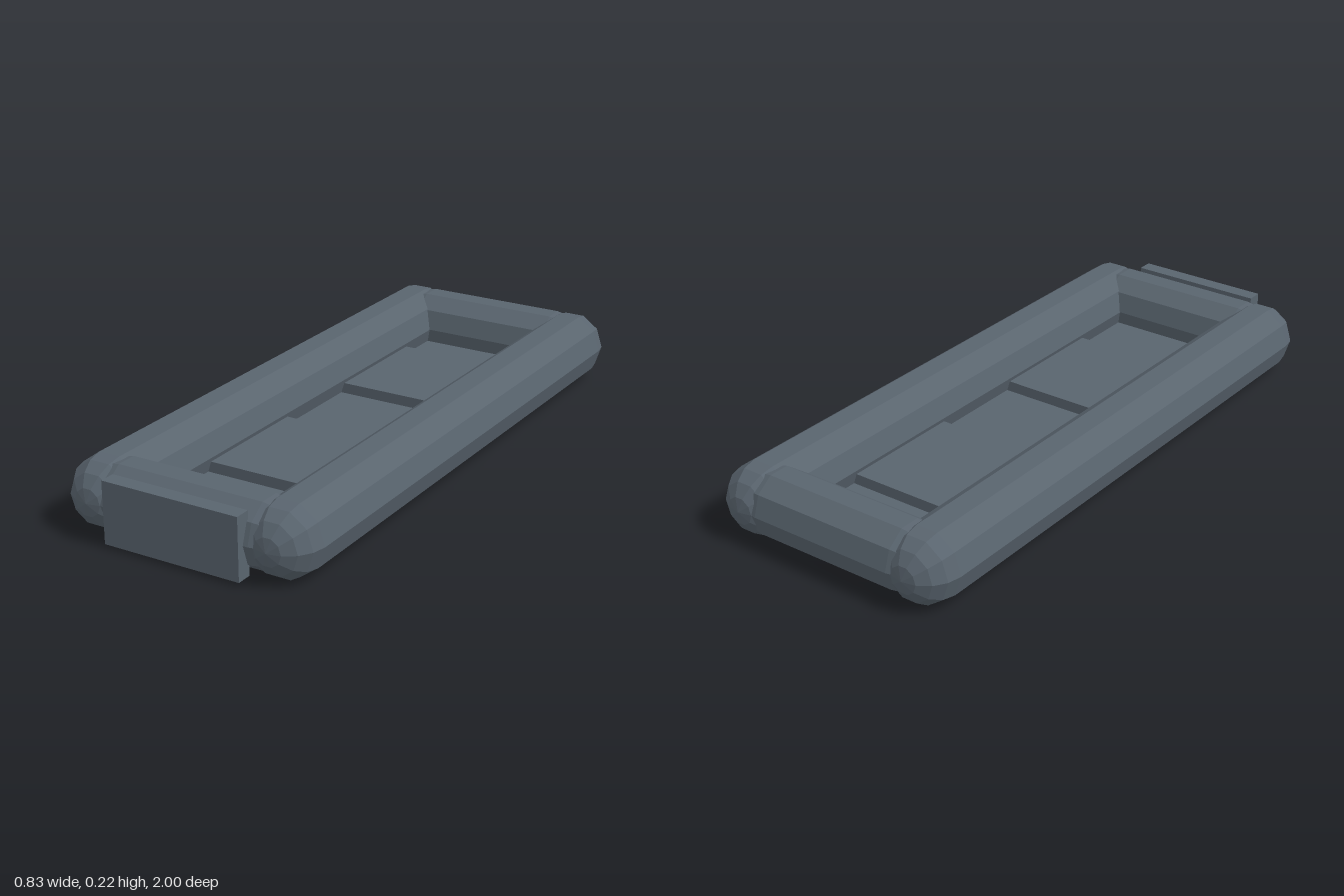
import * as THREE from 'three';

export function createModel() {
  const raft = new THREE.Group();
  raft.name = 'inflatableRaft';
  const material = new THREE.MeshStandardMaterial({ color: 0x59646e, flatShading: true });

  const add = (name, geometry, x, y, z) => {
    const mesh = new THREE.Mesh(geometry, material);
    mesh.name = name;
    mesh.position.set(x, y, z);
    raft.add(mesh);
  };

  const midZ = -0.008;      // the tube ring sits slightly behind the transom
  const halfLength = 0.878; // from middle to each end tube

  // Ten-sided side tubes with rounded ends
  for (const [name, side] of [['leftTube', 1], ['rightTube', -1]]) {
    const tube = new THREE.CapsuleGeometry(0.114, halfLength * 2, 4, 10).rotateX(Math.PI / 2);
    add(name, tube, side * 0.3, 0.109, midZ);
  }

  // Slightly thinner cross tubes closing both ends
  for (const [name, end] of [['frontTube', 1], ['backTube', -1]]) {
    const tube = new THREE.CapsuleGeometry(0.108, 0.48, 4, 10).rotateY(Math.PI / 2).rotateZ(Math.PI / 2);
    add(name, tube, 0, 0.11, midZ + end * halfLength);
  }

  // Floor sheet, its edges buried in the tubes
  add('floor', new THREE.BoxGeometry(0.46, 0.025, 1.66), 0, 0.048, midZ);

  // Two low seats lying on the floor
  for (const [name, z] of [['frontSeat', 0.335], ['backSeat', -0.415]]) {
    add(name, new THREE.BoxGeometry(0.42, 0.04, 0.41), 0, 0.075, z);
  }

  // Flat mounting board
  add('transom', new THREE.BoxGeometry(0.45, 0.193, 0.05), 0, 0.107, 0.975);

  return raft;
}
